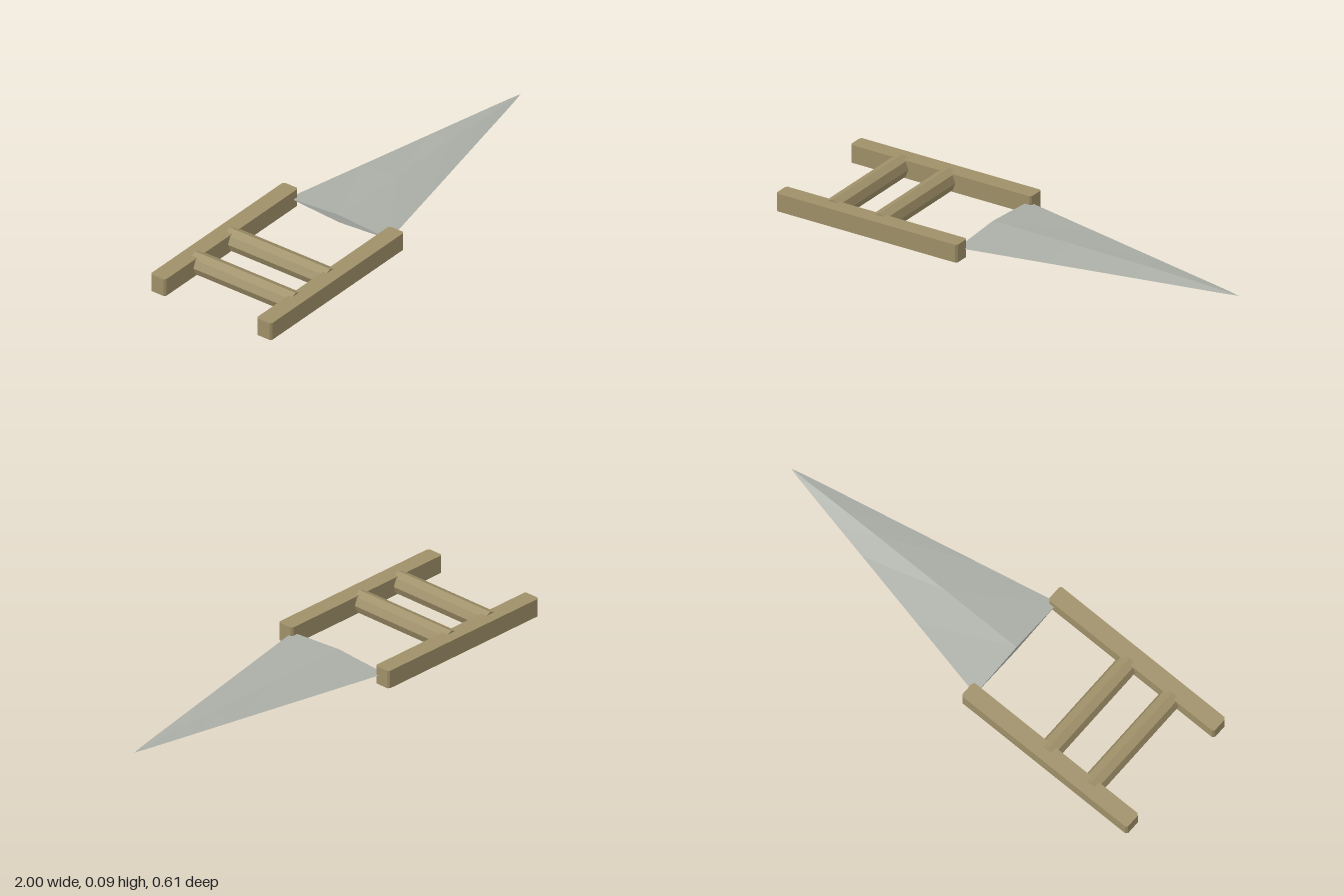
import * as THREE from 'three';

const MID = 0.049; // height of the middle plane

// Side rail: bar with chamfered vertical edges
function railGeometry(x0, x1, z0, z1, y0, y1, c) {
  const s = new THREE.Shape([
    [x0 + c, z0], [x1 - c, z0], [x1, z0 + c], [x1, z1 - c],
    [x1 - c, z1], [x0 + c, z1], [x0, z1 - c], [x0, z0 + c],
  ].map(([x, z]) => new THREE.Vector2(x, z)));
  const g = new THREE.ExtrudeGeometry(s, { depth: y1 - y0, bevelEnabled: false });
  return g.rotateX(Math.PI / 2).translate(0, y1, 0);
}

// Blade: diamond cross-sections [x, half width, half thickness] lofted to a point
function bladeGeometry() {
  const sections = [
    [-0.17, 0.253, 0.017], [0.2, 0.174, 0.0165], [0.55, 0.099, 0.0145],
    [0.7, 0.067, 0.011], [0.85, 0.035, 0.0065], [0.95, 0.013, 0.002], [1, 0, 0],
  ];
  const rings = sections.map(([x, w, t]) =>
    [[x, MID + t, 0], [x, MID, w], [x, MID - t, 0], [x, MID, -w]]);
  const pos = [];
  const tri = (a, b, c) => pos.push(...a, ...b, ...c);
  for (let i = 0; i < rings.length - 1; i++) {
    const a = rings[i], b = rings[i + 1];
    for (let j = 0; j < 4; j++) {
      const k = (j + 1) % 4;
      tri(a[j], a[k], b[j]);
      if (i < rings.length - 2) tri(a[k], b[k], b[j]);
    }
  }
  // Base cap facing the grips
  const r = rings[0];
  tri(r[0], r[2], r[1]);
  tri(r[0], r[3], r[2]);
  const g = new THREE.BufferGeometry();
  g.setAttribute('position', new THREE.Float32BufferAttribute(pos, 3));
  g.computeVertexNormals();
  return g;
}

export function createModel() {
  const wood = new THREE.MeshStandardMaterial({ color: 0x9f9068, flatShading: true });
  wood.name = 'tan handle';
  const steel = new THREE.MeshStandardMaterial({ color: 0xaaaea6, flatShading: true });
  steel.name = 'pale steel';

  const model = new THREE.Group();
  model.name = 'punchDagger';
  const add = (name, geometry, material) => {
    const mesh = new THREE.Mesh(geometry, material);
    mesh.name = name;
    model.add(mesh);
    return mesh;
  };

  // Two side rails
  add('leftRail', railGeometry(-1, -0.14, 0.228, 0.303, 0.01, 0.088, 0.008), wood);
  add('rightRail', railGeometry(-1, -0.14, -0.303, -0.228, 0.01, 0.088, 0.008), wood);

  // Two octagonal cross grips, corners pointing up and sideways
  [-0.77, -0.547].forEach((x, i) => {
    const grip = new THREE.CylinderGeometry(0.047, 0.047, 0.502, 8).rotateX(Math.PI / 2);
    add(i ? 'frontGrip' : 'rearGrip', grip, wood).position.set(x, 0.05, -0.004);
  });

  add('blade', bladeGeometry(), steel);
  return model;
}
